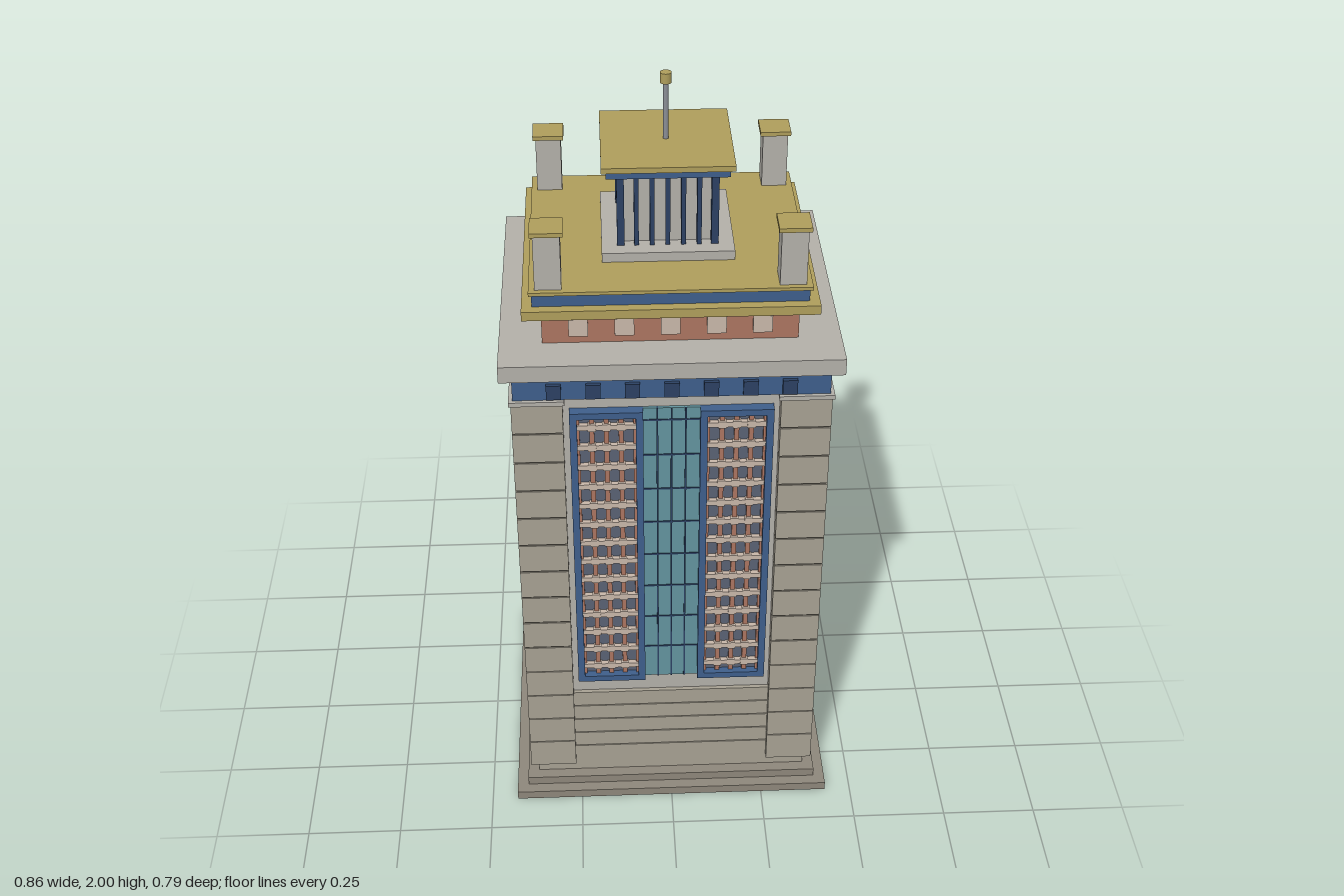
import * as THREE from 'three';

const mat = (color) => new THREE.MeshStandardMaterial({ color });
const M = {
  stone: mat(0xa8a294), pale: mat(0xb4b1aa), base: mat(0x8f887c), groove: mat(0x6f6a60),
  blue: mat(0x3f5f8c), navy: mat(0x2c4163), gold: mat(0xb09f5c), clay: mat(0xad7661),
  cream: mat(0xc9b8aa), glass: mat(0x64959f), pane: mat(0x5a6274), steel: mat(0x8b8f96),
};

export function createModel() {
  const root = new THREE.Group();

  // Box given by its centre in x and z, its bottom and its top
  function slab(parent, name, m, w, d, y0, y1, x = 0, z = 0) {
    const mesh = new THREE.Mesh(new THREE.BoxGeometry(w, y1 - y0, d), m);
    mesh.position.set(x, (y0 + y1) / 2, z);
    mesh.name = name;
    parent.add(mesh);
    return mesh;
  }
  function group(parent, name) {
    const g = new THREE.Group();
    g.name = name;
    parent.add(g);
    return g;
  }
  // Stone courses separated by narrow recessed joints
  function courses(parent, name, w, d, y0, y1, n, x, z) {
    const h = (y1 - y0) / n, joint = 0.004;
    slab(parent, name + 'Core', M.groove, w - 0.006, d - 0.006, y0, y1 - 0.001, x, z);
    for (let i = 0; i < n; i++) {
      slab(parent, name + 'Course', M.stone, w, d, y0 + i * h + (i ? joint : 0), y0 + (i + 1) * h, x, z);
    }
  }

  // Stepped base
  slab(root, 'baseStep', M.base, 0.86, 0.79, 0, 0.025);
  slab(root, 'baseStep', M.base, 0.8, 0.73, 0.025, 0.05);
  slab(root, 'baseStep', M.stone, 0.74, 0.67, 0.05, 0.092);

  // Shaft, with a slightly thicker coursed foot
  slab(root, 'shaft', M.pale, 0.73, 0.65, 0.09, 1.298);
  courses(group(root, 'shaftFoot'), 'foot', 0.742, 0.672, 0.09, 0.34, 5, 0, 0);

  // Corner piers
  for (const sx of [-1, 1]) for (const sz of [-1, 1]) {
    const pier = group(root, 'cornerPier');
    courses(pier, 'pier', 0.125, 0.125, 0.09, 1.3, 14, sx * 0.3275, sz * 0.2925);
    slab(pier, 'pierCap', M.pale, 0.135, 0.135, 1.3, 1.312, sx * 0.3275, sz * 0.2925);
  }

  // Framed lattice window, built facing +z with the wall at z = 0
  function lattice(parent, cx, w, cols) {
    const g = group(parent, 'latticeWindow');
    g.position.x = cx;
    const y0 = 0.395, y1 = 1.27, f = 0.018, rows = 14;
    for (const s of [-1, 1]) slab(g, 'frameSide', M.blue, f, 0.03, y0, y1, s * (w - f) / 2, 0.01);
    slab(g, 'frameSill', M.blue, w - 2 * f, 0.03, y0, y0 + f, 0, 0.01);
    slab(g, 'frameHead', M.blue, w - 2 * f, 0.03, y1 - f, y1, 0, 0.01);
    const iw = w - 2 * f, ih = y1 - y0 - 2 * f, b = y0 + f;
    slab(g, 'panes', M.pane, iw, 0.008, b, b + ih);
    const cw = iw / cols, rh = ih / rows;
    for (let c = 0; c <= cols; c++) {
      const edge = c === 0 || c === cols, bw = edge ? 0.006 : 0.012;
      const x = -iw / 2 + c * cw + (c === 0 ? bw / 2 : c === cols ? -bw / 2 : 0);
      slab(g, 'uprightBar', M.clay, bw, 0.016, b, b + ih, x, 0.004);
    }
    for (let r = 0; r < rows; r++) {
      const y = b + (r + 0.5) * rh;
      slab(g, 'crossBar', M.cream, iw, 0.014, y - 0.007, y + 0.007, 0, 0.01);
      for (let c = 1; c < cols; c++) {
        slab(g, 'crossBarBoss', M.cream, 0.02, 0.014, y - 0.01, y + 0.01, -iw / 2 + c * cw, 0.011);
      }
    }
  }

  // Front and back: two lattices either side of a glazed strip
  for (const turn of [0, Math.PI]) {
    const face = group(root, turn ? 'backWindows' : 'frontWindows');
    const inner = group(face, 'windowBay');
    inner.position.z = 0.327;
    face.rotation.y = turn;
    for (const s of [-1, 1]) lattice(inner, s * 0.16, 0.18, 4);
    slab(inner, 'glassStrip', M.glass, 0.14, 0.012, 0.395, 1.27);
    for (const x of [-0.035, 0, 0.035]) slab(inner, 'mullion', M.navy, 0.004, 0.008, 0.395, 1.27, x, 0.005);
    for (let i = 1; i <= 8; i++) {
      const y = 0.395 + i * 0.105;
      slab(inner, 'transom', M.navy, 0.14, 0.008, y - 0.002, y + 0.002, 0, 0.004);
    }
    // Bracket blocks under the cornice
    for (let i = -3; i <= 3; i++) {
      slab(inner, 'bracket', M.navy, 0.036, 0.03, 1.318, 1.358, i * 0.095, 0.018);
    }
  }
  // Sides: one wide lattice each
  for (const s of [-1, 1]) {
    const face = group(root, s > 0 ? 'leftWindow' : 'rightWindow');
    face.rotation.y = s * Math.PI / 2;
    face.position.x = s * 0.367;
    lattice(face, 0, 0.455, 10);
  }

  // Frieze and cornice
  slab(root, 'frieze', M.blue, 0.77, 0.7, 1.312, 1.366);
  slab(root, 'friezeTrim', M.gold, 0.75, 0.68, 1.366, 1.38);
  slab(root, 'cornice', M.pale, 0.83, 0.75, 1.38, 1.424);

  // Attic with small square panels
  const attic = group(root, 'attic');
  slab(attic, 'atticWall', M.clay, 0.62, 0.54, 1.424, 1.516);
  for (const s of [-1, 1]) for (let i = -2; i <= 2; i++) {
    slab(attic, 'atticPanel', M.cream, 0.047, 0.02, 1.446, 1.492, i * 0.111, s * 0.269);
    slab(attic, 'atticPanel', M.cream, 0.02, 0.042, 1.446, 1.492, s * 0.309, i * 0.09);
  }

  // Roof terrace
  slab(root, 'terraceLedge', M.gold, 0.71, 0.636, 1.516, 1.54);
  slab(root, 'terraceBand', M.blue, 0.66, 0.586, 1.54, 1.572);
  slab(root, 'terraceRoof', M.gold, 0.674, 0.6, 1.572, 1.581);

  // Corner posts with gold caps
  for (const sx of [-1, 1]) for (const sz of [-1, 1]) {
    slab(root, 'cornerPost', M.pale, 0.064, 0.064, 1.581, 1.724, sx * 0.29, sz * 0.254);
    slab(root, 'cornerPostCap', M.gold, 0.078, 0.078, 1.724, 1.735, sx * 0.29, sz * 0.254);
  }

  // Lantern with fins on its front and back
  const lantern = group(root, 'lantern');
  slab(lantern, 'lanternBase', M.pale, 0.322, 0.322, 1.581, 1.605);
  slab(lantern, 'lanternCore', M.pale, 0.22, 0.2, 1.605, 1.796);
  for (const s of [-1, 1]) for (let i = -3; i <= 3; i++) {
    slab(lantern, 'lanternFin', M.navy, i === 3 || i === -3 ? 0.018 : 0.011, 0.026, 1.605, 1.796, i * 0.038, s * 0.11);
  }
  slab(lantern, 'lanternBand', M.blue, 0.295, 0.295, 1.796, 1.816);
  slab(lantern, 'lanternRoof', M.gold, 0.318, 0.318, 1.816, 1.83);

  // Mast and finial
  function rod(name, m, r, y0, y1) {
    const mesh = new THREE.Mesh(new THREE.CylinderGeometry(r, r, y1 - y0, 16), m);
    mesh.position.y = (y0 + y1) / 2;
    mesh.name = name;
    root.add(mesh);
  }
  rod('mast', M.steel, 0.007, 1.83, 1.976);
  rod('finial', M.gold, 0.014, 1.974, 2);

  return root;
}
